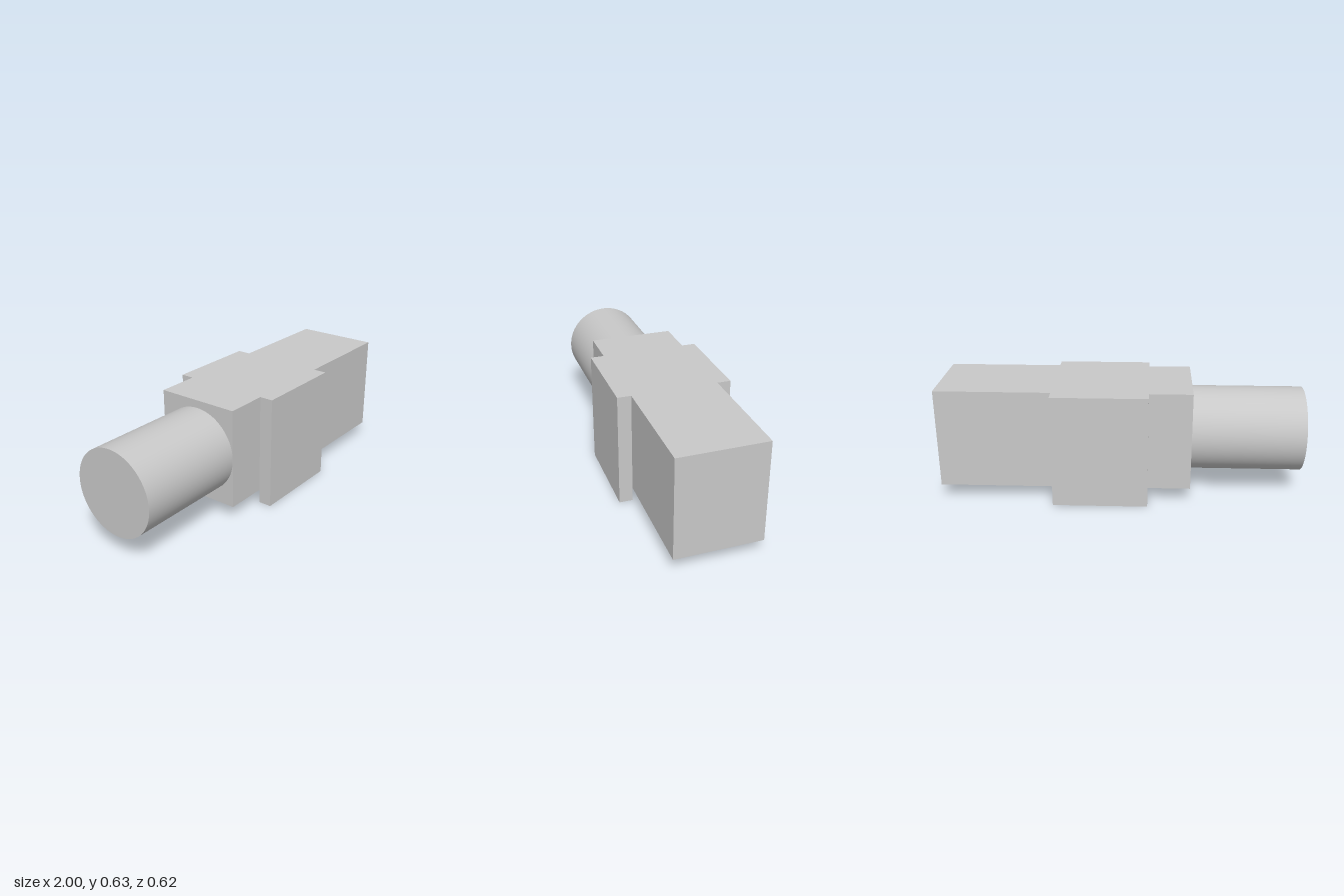
import * as THREE from 'three';

const grey = new THREE.MeshStandardMaterial({ color: 0xc8c8c8 });
grey.name = 'grey';

// Box given by its lower and upper corners
function block(name, [x0, y0, z0], [x1, y1, z1]) {
  const mesh = new THREE.Mesh(new THREE.BoxGeometry(x1 - x0, y1 - y0, z1 - z0), grey);
  mesh.position.set((x0 + x1) / 2, (y0 + y1) / 2, (z0 + z1) / 2);
  mesh.name = name;
  return mesh;
}

export function createModel() {
  const model = new THREE.Group();
  const half = 0.234, top = 0.63, bottom = 0.077, shoulder = -0.385;

  // Long square body
  model.add(block('body', [shoulder, bottom, -half], [1, top, half]));

  // Side plates that hang below the body and carry it
  model.add(block('leftPlate', [-0.15, 0, half], [0.37, top, 0.308]));
  model.add(block('rightPlate', [-0.15, 0, -0.308], [0.37, top, -half]));

  // Round shaft along x
  const length = shoulder + 1;
  const shaft = new THREE.Mesh(new THREE.CylinderGeometry(half, half, length, 64), grey);
  shaft.rotation.z = Math.PI / 2;
  shaft.position.set(-1 + length / 2, (top + bottom) / 2, 0);
  shaft.name = 'shaft';
  model.add(shaft);

  return model;
}
